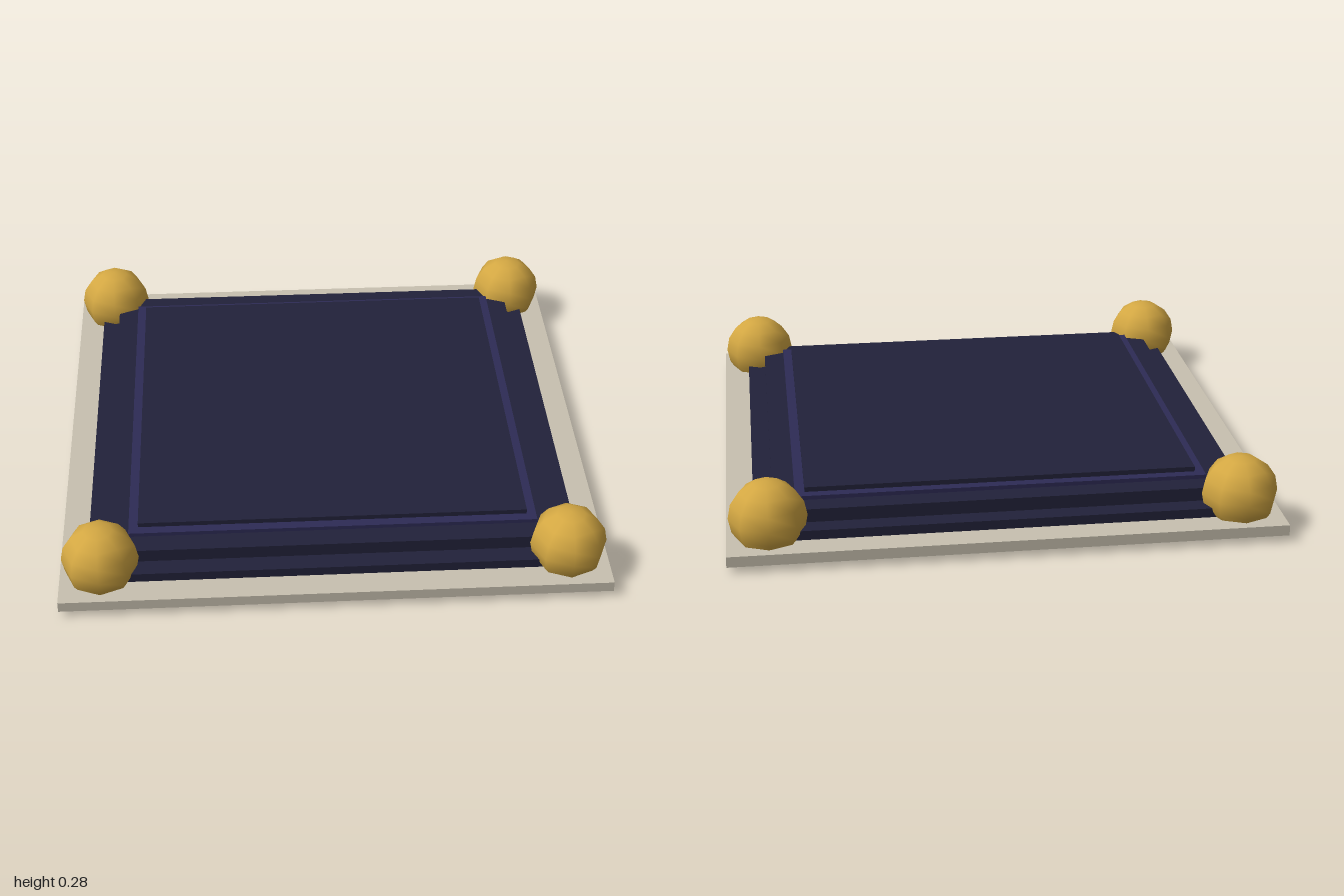
import * as THREE from 'three';

export function createModel() {
  const model = new THREE.Group();
  model.name = 'steppedPlinth';

  const mat = (name, color) => {
    const m = new THREE.MeshStandardMaterial({ color });
    m.name = name;
    return m;
  };
  const stone = mat('stone', 0xc8c1b0);
  const navy = mat('navy', 0x22223a);
  const indigo = mat('indigo', 0x2d2b55);
  const gold = mat('gold', 0xd4a843);

  // Square tiers stacked upwards: name, half width, bottom, top, material
  const tiers = [
    ['baseSlab', 1, 0.025, 0.065, stone],
    ['lowerTier', 0.9, 0.065, 0.1, navy],
    ['middleTier', 0.83, 0.1, 0.15, navy],
    ['trimTier', 0.75, 0.15, 0.165, indigo],
    ['topPanel', 0.715, 0.165, 0.183, navy],
  ];
  for (const [name, half, y0, y1, material] of tiers) {
    const mesh = new THREE.Mesh(new THREE.BoxGeometry(half * 2, y1 - y0, half * 2), material);
    mesh.name = name;
    mesh.position.y = (y0 + y1) / 2;
    model.add(mesh);
  }

  // Corner balls, which poke through the slab as feet
  const ballGeometry = new THREE.SphereGeometry(0.14, 8, 8);
  for (const x of [-1, 1]) {
    for (const z of [-1, 1]) {
      const ball = new THREE.Mesh(ballGeometry, gold);
      ball.name = (z > 0 ? 'front' : 'back') + (x > 0 ? 'Left' : 'Right') + 'Ball';
      ball.position.set(x * 0.85, 0.14, z * 0.85);
      model.add(ball);
    }
  }
  return model;
}
